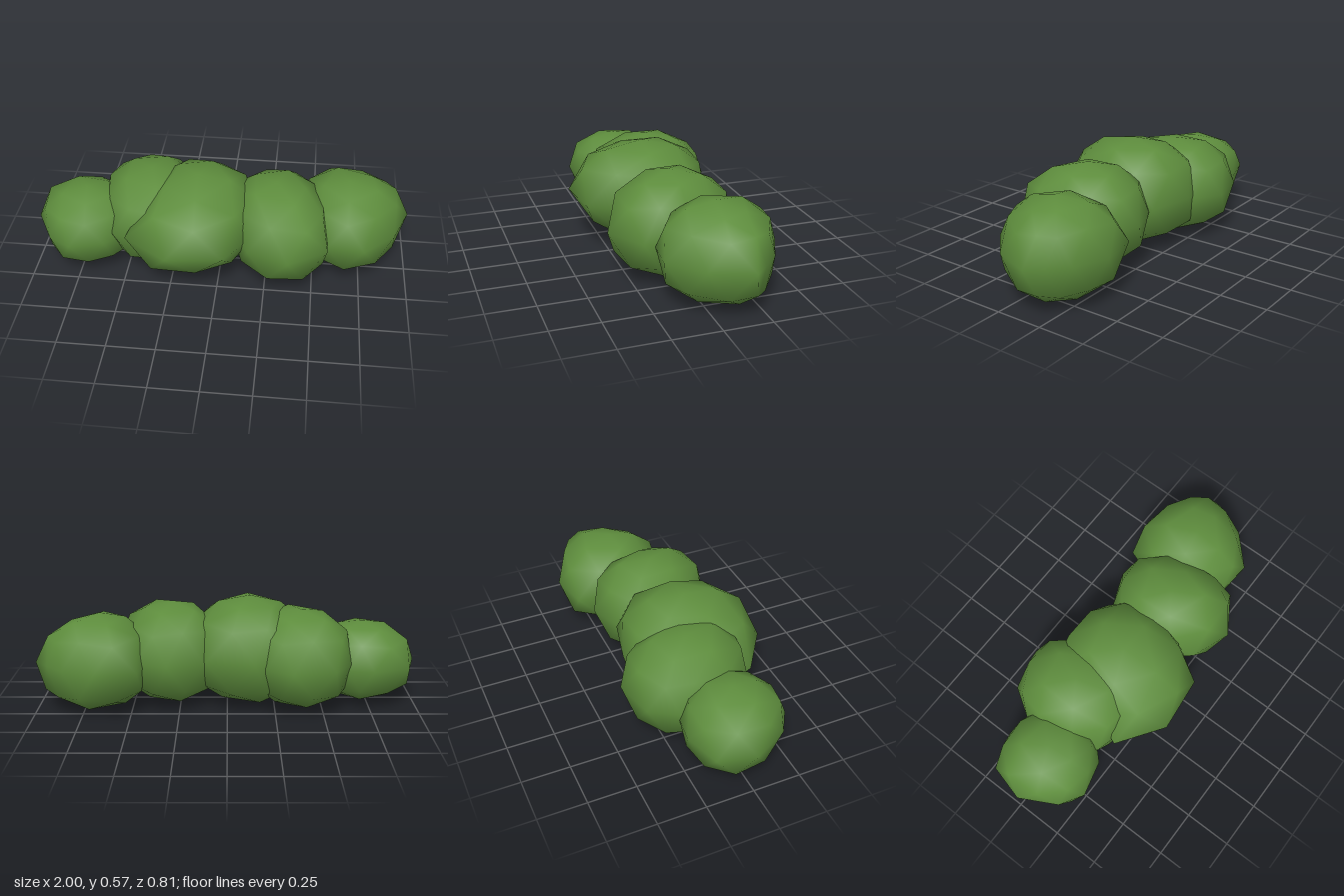
import * as THREE from 'three';
import { mergeVertices } from 'three/addons/utils/BufferGeometryUtils.js';

// Each clump: pole position (x, z), bottom and top heights, and its widest
// outline as ten [x, z] points running from -x round the back to +x and the front.
// Dents are [x, y, z, depth]: a direction and how far the surface sinks there
// (negative depth swells it).
const CLUMPS = [
  { name: 'farRightClump', pole: [-0.72, 0.01], y: [0.015, 0.44], dents: [], outline: [
    [-1, 0.01], [-0.95, -0.18], [-0.76, -0.24], [-0.62, -0.22], [-0.5, -0.1],
    [-0.46, 0.03], [-0.52, 0.15], [-0.6, 0.23], [-0.78, 0.275], [-0.9, 0.2]] },
  { name: 'rightClump', pole: [-0.38, -0.08], y: [0.01, 0.525],
    dents: [[0.1, 0.5, 0.85, -0.1]], outline: [
    [-0.66, -0.06], [-0.64, -0.22], [-0.55, -0.36], [-0.33, -0.41], [-0.2, -0.32],
    [-0.1, -0.14], [-0.1, 0.04], [-0.2, 0.19], [-0.39, 0.235], [-0.56, 0.19]] },
  { name: 'middleClump', pole: [-0.12, 0.03], y: [0, 0.575],
    dents: [[0, -0.55, 0.83, 0.17], [-0.85, 0.5, 0.1, 0.12]], outline: [
    [-0.4, 0.05], [-0.36, -0.14], [-0.29, -0.29], [-0.14, -0.32], [0.11, -0.26],
    [0.18, -0.08], [0.19, 0.14], [0.04, 0.375], [-0.25, 0.405], [-0.485, 0.24]] },
  { name: 'leftClump', pole: [0.29, 0.02], y: [0.005, 0.545],
    dents: [[0.7, 0.5, 0.5, 0.04]], outline: [
    [0.04, 0.05], [0.04, -0.1], [0.12, -0.24], [0.31, -0.315], [0.47, -0.24],
    [0.56, -0.08], [0.57, 0.08], [0.57, 0.235], [0.37, 0.36], [0.16, 0.28]] },
  { name: 'farLeftClump', pole: [0.67, -0.08], y: [0.01, 0.51],
    dents: [[0.5, 0.65, 0.55, 0.1], [0.3, -0.8, -0.5, -0.06]], outline: [
    [0.41, -0.12], [0.455, -0.355], [0.67, -0.4], [0.84, -0.32], [0.93, -0.235],
    [1, -0.16], [0.92, 0.05], [0.76, 0.2], [0.57, 0.18], [0.44, 0.02]] },
];

// Low-poly sphere with a vertex at each pole and ten vertices round the equator
function poleSphere() {
  const geo = new THREE.IcosahedronGeometry(1, 1);
  geo.deleteAttribute('uv');
  geo.deleteAttribute('normal');
  geo.rotateZ(Math.atan(2 / (1 + Math.sqrt(5))));
  return mergeVertices(geo, 1e-3);
}

// Stretch the sphere so its equator follows the clump's outline, then dent it
function clumpGeometry({ pole, y: [bottom, top], dents, outline }) {
  const geo = poleSphere();
  const pos = geo.attributes.position;
  const n = outline.length;
  for (let i = 0; i < pos.count; i++) {
    const x = pos.getX(i), h = pos.getY(i), z = pos.getZ(i);
    const u = ((Math.atan2(z, x) + Math.PI) / (2 * Math.PI)) * n - 0.5 + n;
    const k = Math.floor(u), t = u - k;
    const a = outline[k % n], b = outline[(k + 1) % n];

    // Dents fade out towards the equator, which keeps its outline
    let scale = 1;
    for (const [dx, dy, dz, depth] of dents) {
      const facing = Math.max(0, dx * x + dy * h + dz * z);
      scale -= depth * facing ** 4 * Math.min(1, 2 * Math.abs(h));
    }

    const reach = scale * Math.hypot(x, z) * (1 + 0.206 * t * (1 - t));
    const px = pole[0] + reach * (THREE.MathUtils.lerp(a[0], b[0], t) - pole[0]);
    const pz = pole[1] + reach * (THREE.MathUtils.lerp(a[1], b[1], t) - pole[1]);
    const lift = Math.min(1, scale * Math.abs(h) ** 0.75) * Math.sign(h);
    pos.setXYZ(i, px, (top + bottom) / 2 + lift * (top - bottom) / 2, pz);
  }
  geo.computeVertexNormals();
  return geo;
}

export function createModel() {
  const group = new THREE.Group();
  group.name = 'bush';
  const leafGreen = new THREE.MeshStandardMaterial({ color: 0x5e8d3d });
  leafGreen.name = 'leafGreen';
  for (const clump of CLUMPS) {
    const mesh = new THREE.Mesh(clumpGeometry(clump), leafGreen);
    mesh.name = clump.name;
    group.add(mesh);
  }
  return group;
}
